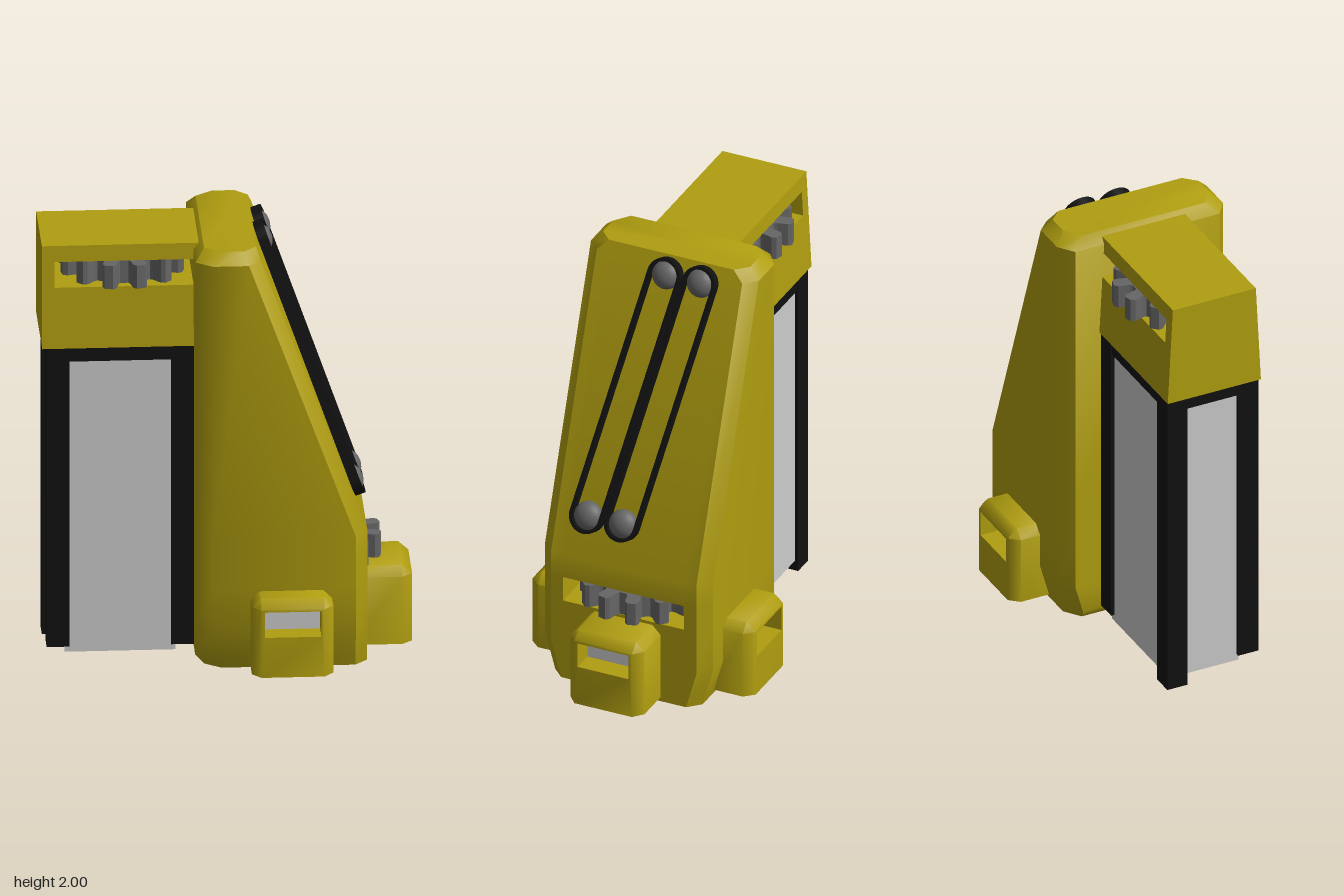
import * as THREE from 'three';
import { toCreasedNormals } from 'three/addons/utils/BufferGeometryUtils.js';

const mat = (color) => new THREE.MeshStandardMaterial({ color });
const yellow = mat(0xb09e10), black = mat(0x111111), steel = mat(0x666666);
const grey = mat(0xcccccc), brass = mat(0x8a8080);

function add(parent, name, geometry, material, x = 0, y = 0, z = 0) {
  const mesh = new THREE.Mesh(geometry, material);
  mesh.name = name;
  mesh.position.set(x, y, z);
  parent.add(mesh);
  return mesh;
}

// box given by its minimum and maximum corners
function block(parent, name, material, [x0, y0, z0], [x1, y1, z1]) {
  return add(parent, name, new THREE.BoxGeometry(x1 - x0, y1 - y0, z1 - z0), material,
    (x0 + x1) / 2, (y0 + y1) / 2, (z0 + z1) / 2);
}

function rectPath(x0, y0, x1, y1) {
  return new THREE.Path([[x0, y0], [x0, y1], [x1, y1], [x1, y0]].map((p) => new THREE.Vector2(...p)));
}

// tall body: chamfered sections stacked upwards, with a notch for the gear slot
function bodyGeometry() {
  // y, x min, x max, half depth, notch depth
  const levels = [
    [0.02, -0.11, 0.61, 0.36, 0], [0.07, -0.15, 0.61, 0.374, 0], [0.2, -0.15, 0.61, 0.41, 0],
    [0.415, -0.15, 0.61, 0.41, 0], [0.415, -0.15, 0.61, 0.41, 0.3],
    [0.535, -0.15, 0.61, 0.41, 0.3], [0.535, -0.15, 0.61, 0.41, 0],
    [0.65, -0.15, 0.61, 0.41, 0], [1.95, -0.15, 0.138, 0.41, 0], [2, -0.11, 0.12, 0.36, 0],
  ];
  const c = 0.055, n = 0.295;
  const rings = levels.map(([y, x0, x1, h, d]) => [
    [x1, h - c], [x1, n], [x1 - d, n], [x1 - d, -n], [x1, -n], [x1, c - h],
    [x1 - c, -h], [x0 + c + 0.02, -h], [x0, c - h], [x0, h - c], [x0 + c + 0.02, h], [x1 - c, h],
  ].map(([x, z]) => [x, y, z]));
  const pos = [];
  const tri = (...corners) => corners.forEach((p) => pos.push(...p));
  const count = rings[0].length, top = rings.length - 1;
  for (let i = 0; i < count; i++) {
    const j = (i + 1) % count;
    for (let k = 0; k < top; k++) {
      tri(rings[k][i], rings[k][j], rings[k + 1][j]);
      tri(rings[k][i], rings[k + 1][j], rings[k + 1][i]);
    }
    tri([0, 2, 0], rings[top][i], rings[top][j]);
    tri([0.25, 0.02, 0], rings[0][j], rings[0][i]);
  }
  const g = new THREE.BufferGeometry();
  g.setAttribute('position', new THREE.Float32BufferAttribute(pos, 3));
  return toCreasedNormals(g, 0.7);
}

// twelve-toothed gear lying flat, teeth offset by half a step
function gearGeometry(height) {
  const points = [];
  for (let i = 0; i < 12; i++) {
    const a = (i + 0.5) * Math.PI / 6;
    for (const [r, da] of [[0.2, -0.17], [0.215, -0.14], [0.262, -0.12], [0.278, -0.07],
      [0.278, 0.07], [0.262, 0.12], [0.215, 0.14], [0.2, 0.17]])
      points.push(new THREE.Vector2(r * Math.cos(a + da), r * Math.sin(a + da)));
  }
  const g = new THREE.ExtrudeGeometry(new THREE.Shape(points), { depth: height, bevelEnabled: false });
  return g.rotateX(-Math.PI / 2);
}

// foot pod with a chamfered outer end and a recessed window
function pod(name, x, z, turn, depth) {
  const group = new THREE.Group();
  group.name = name;
  const shape = new THREE.Shape([[-0.18, 0.04], [0.18, 0.04], [0.18, 0.36], [0.14, 0.4],
    [-0.14, 0.4], [-0.18, 0.36]].map((p) => new THREE.Vector2(...p)));
  shape.holes.push(rectPath(-0.125, 0.23, 0.125, 0.35));
  const g = new THREE.ExtrudeGeometry(shape, { depth: 1, steps: 2, bevelEnabled: false });
  const p = g.attributes.position;
  for (let i = 0; i < p.count; i++) {
    const layer = Math.round(p.getZ(i) * 2);
    p.setZ(i, [0, depth - 0.045, depth][layer]);
    if (layer === 2) {
      p.setX(i, THREE.MathUtils.clamp(p.getX(i), -0.14, 0.14));
      p.setY(i, Math.min(p.getY(i), 0.36));
    }
  }
  add(group, 'podShell', toCreasedNormals(g, 0.9), yellow);
  block(group, 'podWindow', grey, [-0.13, 0.22, depth - 0.12], [0.13, 0.36, depth - 0.1]);
  group.position.set(x, 0, z);
  group.rotation.y = turn;
  return group;
}

// closed loop round two pulleys
function loop(path, a, b, r) {
  const t = Math.atan2(b.y - a.y, b.x - a.x);
  path.absarc(b.x, b.y, r, t - Math.PI / 2, t + Math.PI / 2, false);
  path.absarc(a.x, a.y, r, t + Math.PI / 2, t + Math.PI * 1.5, false);
  path.closePath();
  return path;
}

// two belt drives lying on the sloping face
function beltDrives() {
  const group = new THREE.Group();
  group.name = 'beltDrives';
  const up = new THREE.Vector3(-0.341, 0.94, 0).normalize();
  const out = new THREE.Vector3(0.94, 0.341, 0).normalize();
  group.quaternion.setFromRotationMatrix(
    new THREE.Matrix4().makeBasis(new THREE.Vector3(0, 0, -1), up, out));
  group.position.set(0.365, 1.325, 0);
  for (const shift of [0, 0.17]) {
    const low = new THREE.Vector2(shift - 0.2, -0.516), high = new THREE.Vector2(shift - 0.005, 0.628);
    const shape = loop(new THREE.Shape(), low, high, 0.079);
    shape.holes.push(loop(new THREE.Path(), low, high, 0.064));
    const belt = new THREE.ExtrudeGeometry(shape, { depth: 0.055, bevelEnabled: false, curveSegments: 10 });
    add(group, 'belt', toCreasedNormals(belt, 0.6), black, 0, 0, -0.01);
    for (const end of [low, high])
      add(group, 'pulley', new THREE.SphereGeometry(0.066, 20, 12), steel, end.x, end.y, 0.01)
        .scale.z = 0.75;
  }
  return group;
}

export function createModel() {
  const model = new THREE.Group();
  model.name = 'machine';

  add(model, 'body', bodyGeometry(), yellow);
  add(model, 'bodyGear', gearGeometry(0.11), steel, 0.415, 0.42, 0);
  model.add(beltDrives());

  // pods on front, back and side
  model.add(pod('frontPod', 0.27, 0.35, 0, 0.19));
  model.add(pod('backPod', 0.27, -0.35, Math.PI, 0.2));
  model.add(pod('sidePod', 0.55, 0, Math.PI / 2, 0.27));

  // head with a slot right through, slightly narrower at the top
  const headShape = new THREE.Shape(
    [[-0.82, 1.5], [-0.1, 1.5], [-0.1, 1.98], [-0.82, 1.98]].map((p) => new THREE.Vector2(...p)));
  headShape.holes.push(rectPath(-0.765, 1.785, -0.145, 1.905));
  const head = new THREE.ExtrudeGeometry(headShape, { depth: 1, bevelEnabled: false });
  const p = head.attributes.position;
  for (let i = 0; i < p.count; i++) {
    const half = 0.23 - 0.025 * (p.getY(i) - 1.5) / 0.48;
    p.setZ(i, (p.getZ(i) * 2 - 1) * half - 0.008);
  }
  head.computeVertexNormals();
  add(model, 'head', head, yellow);
  add(model, 'headGear', gearGeometry(0.11), steel, -0.455, 1.79, -0.02);

  // black frame: four legs and a top rail
  for (const [x0, z0, y0] of [[-0.8, -0.23, 0], [-0.8, 0.12, 0.08], [-0.25, -0.23, 0.08], [-0.25, 0.12, 0.08]])
    block(model, 'leg', black, [x0, y0, z0], [x0 + 0.1, 1.5, z0 + 0.1]);
  block(model, 'topRail', black, [-0.8, 1.435, -0.225], [-0.15, 1.5, 0.215]);

  // hollow casing of thin panels
  for (const z of [-0.215, 0.195])
    block(model, 'panel', grey, [-0.72, 0.05, z], [-0.23, 1.44, z + 0.01]);
  for (const x of [-0.785, -0.18])
    block(model, 'endPanel', grey, [x, 0.05, -0.14], [x + 0.01, 1.44, 0.13]);

  // spindle hanging inside the casing
  add(model, 'spindle', new THREE.CylinderGeometry(0.02, 0.02, 1.7, 16), brass, -0.455, 0.97, -0.01);
  add(model, 'spindleKnob', new THREE.SphereGeometry(0.09, 20, 14), brass, -0.455, 0.125, -0.01);

  return model;
}
